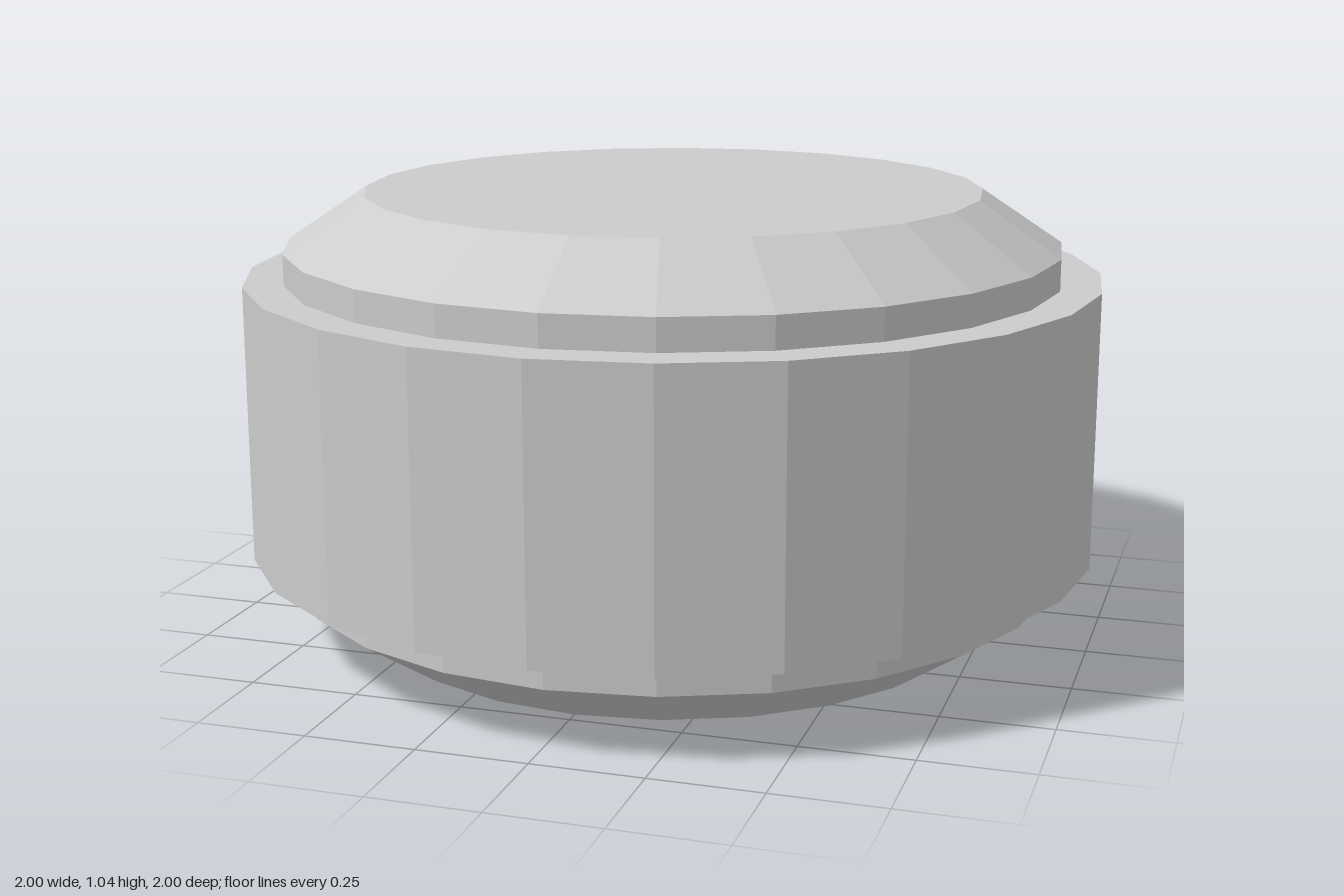
import * as THREE from 'three';

const SIDES = 24;
const RIM = 0.907; // radius where the caps meet the band
const FACE = 0.72; // radius of the flat end faces

export function createModel() {
  const group = new THREE.Group();
  const material = new THREE.MeshStandardMaterial({ color: 0xcccccc, flatShading: true });

  // Revolves a profile of [radius, height] pairs, listed from bottom to top
  const addTurned = (name, profile) => {
    const points = profile.map(([r, y]) => new THREE.Vector2(r, y));
    const mesh = new THREE.Mesh(new THREE.LatheGeometry(points, SIDES), material);
    mesh.name = name;
    group.add(mesh);
  };

  // Bottom cap: flat base, chamfer, short neck
  addTurned('bottomCap', [[0, 0], [FACE, 0], [RIM, 0.125], [RIM, 0.2]]);
  // Wide outer band with its two ledges
  addTurned('outerBand', [[RIM, 0.2], [1, 0.2], [1, 0.843], [RIM, 0.843]]);
  // Top cap: short neck, chamfer, flat face
  addTurned('topCap', [[RIM, 0.843], [RIM, 0.915], [FACE, 1.04], [0, 1.04]]);

  return group;
}
